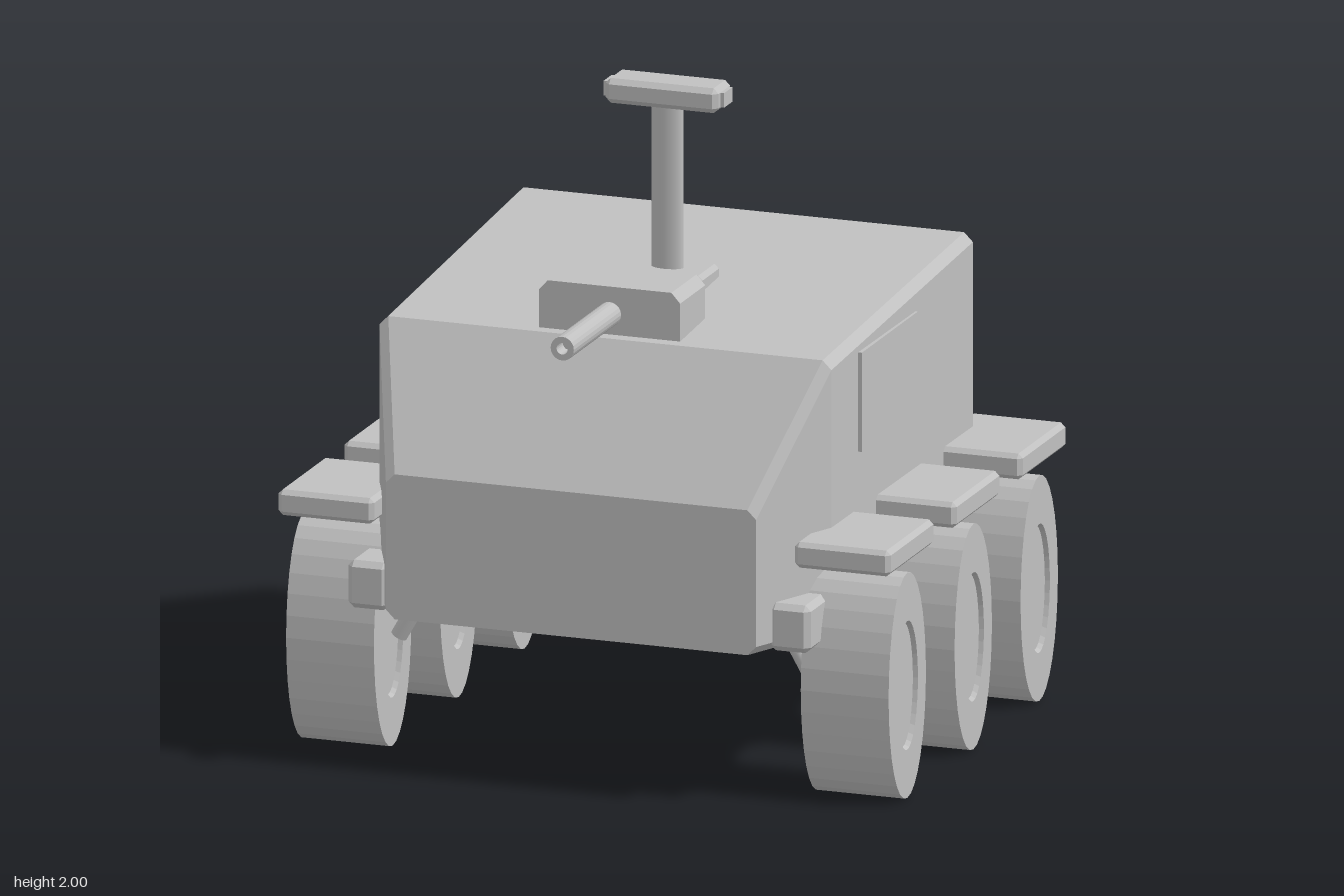
import * as THREE from 'three';
import { ConvexGeometry } from 'three/addons/geometries/ConvexGeometry.js';

const V = (x, y, z) => new THREE.Vector3(x, y, z);

// Box with all edges cut at 45 degrees
function chamferBox(w, h, d, c) {
  const pts = [];
  for (const sx of [-1, 1]) for (const sy of [-1, 1]) for (const sz of [-1, 1]) {
    const x = w / 2, y = h / 2, z = d / 2;
    pts.push(V(sx * x, sy * (y - c), sz * (z - c)));
    pts.push(V(sx * (x - c), sy * y, sz * (z - c)));
    pts.push(V(sx * (x - c), sy * (y - c), sz * z));
  }
  return new ConvexGeometry(pts);
}

// Hull from four chamfered cross-sections along z
function hullGeometry() {
  const c = 0.028, floor = 0.487, pts = [];
  const sections = [[0.83, 0.59, 0.937], [0.535, 0.72, 1.337], [-0.65, 0.73, 1.42], [-0.9, 0.605, 1.262]];
  for (const [z, w, top] of sections) for (const s of [-1, 1]) {
    pts.push(V(s * (w - c), floor, z), V(s * w, floor + c, z));
    pts.push(V(s * w, top - c, z), V(s * (w - c), top, z));
  }
  return new ConvexGeometry(pts);
}

// Faceted oval wheel with a shallow hub recess on both faces
function wheelGeometry() {
  const profile = [[0, -0.125], [0.193, -0.125], [0.2, -0.14], [0.35, -0.14],
    [0.35, 0.14], [0.2, 0.14], [0.193, 0.125], [0, 0.125]].map(([r, y]) => new THREE.Vector2(r, y));
  const g = new THREE.LatheGeometry(profile, 32).toNonIndexed();
  g.rotateZ(Math.PI / 2);
  g.scale(1, 1, 0.457);
  g.computeVertexNormals();
  return g;
}

// Barrel with an open bore
function barrelGeometry() {
  const profile = [[0, -0.2], [0.037, -0.2], [0.037, 0.205], [0.018, 0.205], [0.018, 0.15], [0, 0.15]]
    .map(([r, y]) => new THREE.Vector2(r, y));
  const g = new THREE.LatheGeometry(profile, 20).toNonIndexed();
  g.rotateX(Math.PI / 2);
  g.computeVertexNormals();
  return g;
}

export function createModel() {
  const model = new THREE.Group();
  model.name = 'armouredVehicle';
  const grey = new THREE.MeshStandardMaterial({ color: 0xc0c0c0 });
  grey.name = 'plainGrey';

  const add = (name, geometry, x = 0, y = 0, z = 0) => {
    const mesh = new THREE.Mesh(geometry, grey);
    mesh.name = name;
    mesh.position.set(x, y, z);
    model.add(mesh);
    return mesh;
  };

  add('hull', hullGeometry());

  // Running gear, mirrored left and right
  const wheel = wheelGeometry();
  const fender = chamferBox(0.305, 0.08, 0.392, 0.014);
  const sill = chamferBox(0.13, 0.148, 1.636, 0.018);
  const arm = new THREE.CylinderGeometry(0.026, 0.026, 0.24, 12);
  for (const s of [1, -1]) {
    const side = s > 0 ? 'left' : 'right';
    add(side + 'Sill', sill, s * 0.672, 0.563, -0.045);
    add(side + 'DoorPanel', new THREE.BoxGeometry(0.02, 0.308, 0.482), s * 0.724, 1.151, 0.071);
    [0.53, -0.035, -0.6].forEach((z, i) => {
      add(side + 'Wheel' + (i + 1), wheel, s * 0.82, 0.353, z);
      add(side + 'Fender' + (i + 1), fender, s * 0.823, 0.78, z);
      add(side + 'SuspensionArm' + (i + 1), arm, s * 0.6, 0.452, z).rotation.z = s * 0.52;
    });
  }

  // Gun housing with bevelled upper corners, and its barrel
  const housing = new THREE.Shape([[-0.225, 1.335], [0.225, 1.335], [0.225, 1.457], [0.197, 1.488],
    [-0.197, 1.488], [-0.225, 1.457]].map(([x, y]) => new THREE.Vector2(x, y)));
  add('gunHousing', new THREE.ExtrudeGeometry(housing, { depth: 0.215, bevelEnabled: false }), 0, 0, 0.285);
  add('gunBarrel', barrelGeometry(), 0, 1.403, 0.7);

  // Sensor mast
  add('mastBase', chamferBox(0.27, 0.06, 0.168, 0.014), 0, 1.388, -0.004);
  add('mast', new THREE.CylinderGeometry(0.05, 0.05, 0.53, 24).scale(1, 1, 0.54), 0, 1.665, 0.004);
  add('mastHead', chamferBox(0.36, 0.077, 0.13, 0.016), 0, 1.961, 0);
  add('mastHeadEnds', new THREE.BoxGeometry(0.385, 0.045, 0.07), 0, 1.961, 0);

  return model;
}
